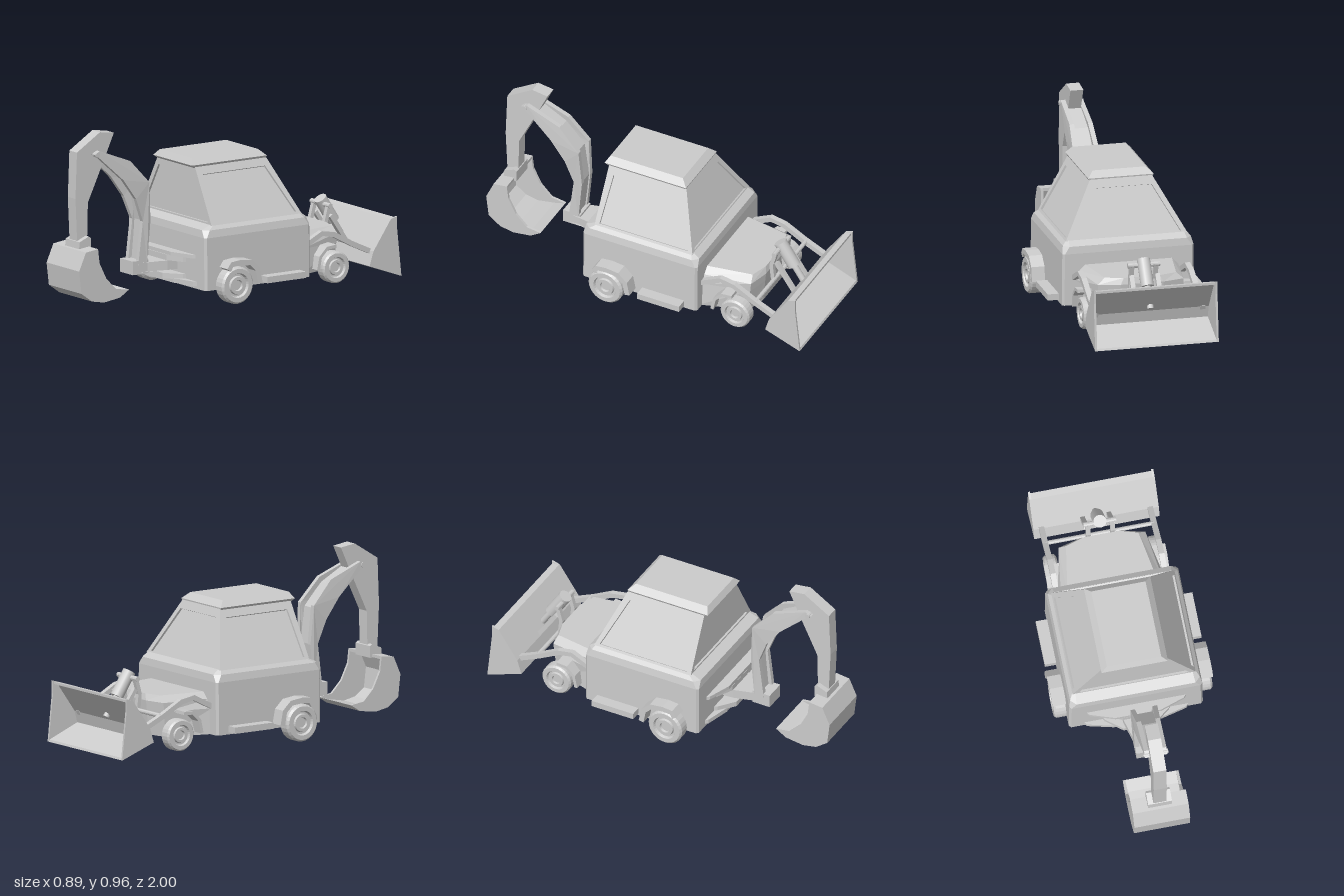
import * as THREE from 'three';

const mat = new THREE.MeshStandardMaterial({ color: 0xcccccc, flatShading: true, side: THREE.DoubleSide });
const smooth = new THREE.MeshStandardMaterial({ color: 0xcccccc, side: THREE.DoubleSide });

export function createModel() {
  const model = new THREE.Group();
  const add = (name, geo, parent = model, m = mat) => {
    const mesh = new THREE.Mesh(geo, m);
    mesh.name = name;
    parent.add(mesh);
    return mesh;
  };
  const group = (name) => {
    const g = new THREE.Group();
    g.name = name;
    model.add(g);
    return g;
  };

  // side profile [z, y] extruded across x0..x1
  const prism = (pts, x0, x1) => {
    const s = new THREE.Shape(pts.map(p => new THREE.Vector2(...p)));
    return new THREE.ExtrudeGeometry(s, { depth: x1 - x0, bevelEnabled: false })
      .rotateY(-Math.PI / 2).translate(x1, 0, 0);
  };
  // strip of constant thickness along a [z, y] path
  const band = (path, t, x0, x1) => {
    const side = k => path.map((p, i) => {
      const a = path[Math.max(i - 1, 0)], b = path[Math.min(i + 1, path.length - 1)];
      const dx = b[0] - a[0], dy = b[1] - a[1], l = Math.hypot(dx, dy);
      return [p[0] - k * t / 2 * dy / l, p[1] + k * t / 2 * dx / l];
    });
    return prism([...side(1), ...side(-1).reverse()], x0, x1);
  };
  const box = (x0, x1, y0, y1, z0, z1) => new THREE.BoxGeometry(x1 - x0, y1 - y0, z1 - z0)
    .translate((x0 + x1) / 2, (y0 + y1) / 2, (z0 + z1) / 2);
  // cylinder between two points
  const rod = (a, b, r, n = 10) => {
    const A = new THREE.Vector3(...a), B = new THREE.Vector3(...b), d = B.clone().sub(A);
    const q = new THREE.Quaternion().setFromUnitVectors(new THREE.Vector3(0, 1, 0), d.clone().normalize());
    const mid = A.add(B).multiplyScalar(0.5);
    return new THREE.CylinderGeometry(r, r, d.length(), n).applyQuaternion(q).translate(mid.x, mid.y, mid.z);
  };
  const triangles = (verts) => {
    const g = new THREE.BufferGeometry();
    g.setAttribute('position', new THREE.Float32BufferAttribute(verts.flatMap(v => v.toArray()), 3));
    g.computeVertexNormals();
    return g;
  };
  const quad = (out, a, b, c, d) => out.push(a, b, c, a, c, d);
  // stack of rings, counter-clockwise from above, closed at both ends
  const loft = (rings) => {
    const out = [], n = rings[0].length, top = rings[rings.length - 1];
    for (let r = 0; r < rings.length - 1; r++)
      for (let i = 0; i < n; i++) {
        const j = (i + 1) % n;
        quad(out, rings[r][i], rings[r][j], rings[r + 1][j], rings[r + 1][i]);
      }
    for (let i = 1; i < n - 1; i++) {
      out.push(top[0], top[i], top[i + 1]);
      out.push(rings[0][0], rings[0][i + 1], rings[0][i]);
    }
    return triangles(out);
  };
  const V = (x, y, z) => new THREE.Vector3(x, y, z);
  // rectangular ring with cut corners
  const ring = (y, x, zf, zb, c = 0.012) => [
    V(x - c, y, zf), V(x, y, zf - c), V(x, y, zb + c), V(x - c, y, zb),
    V(c - x, y, zb), V(-x, y, zb + c), V(-x, y, zf - c), V(c - x, y, zf)];

  // lower body and sloping shoulder
  add('body', loft([ring(0.08, 0.37, 0.31, -0.385), ring(0.37, 0.367, 0.31, -0.385),
    ring(0.41, 0.358, 0.305, -0.38, 0.03), ring(0.435, 0.335, 0.245, -0.345)]));

  // cab: four sloping panels, each with a recessed window
  const cab = group('cab');
  const corners = (y, x, zf, zb) => [V(x, y, zf), V(x, y, zb), V(-x, y, zb), V(-x, y, zf)];
  const low = corners(0.43, 0.34, 0.25, -0.345), high = corners(0.735, 0.172, 0.245, -0.222);
  for (let i = 0; i < 4; i++) {
    const j = (i + 1) % 4, [a, b, c, d] = [low[i], low[j], high[j], high[i]];
    const at = (u, v) => a.clone().lerp(b, u).lerp(d.clone().lerp(c, u), v);
    const n = b.clone().sub(a).cross(d.clone().sub(a)).normalize().multiplyScalar(-0.012);
    const outer = [a, b, c, d];
    const inner = [at(0.045, 0.04), at(0.955, 0.04), at(0.92, 0.84), at(0.08, 0.84)];
    const deep = inner.map(p => p.clone().add(n)), frame = [], glass = [];
    for (let k = 0; k < 4; k++) {
      const m = (k + 1) % 4;
      quad(frame, outer[k], outer[m], inner[m], inner[k]);
      quad(frame, inner[k], inner[m], deep[m], deep[k]);
    }
    quad(glass, ...deep);
    add('windowFrame', triangles(frame), cab);
    add('window', triangles(glass), cab);
  }
  add('roof', loft([corners(0.722, 0.175, 0.25, -0.222), corners(0.738, 0.183, 0.27, -0.225),
    corners(0.772, 0.15, 0.25, -0.19)]), cab);

  // engine hood with rounded nose
  const hoodRing = (y, w, n, e) => [V(w, y, -0.37), V(n, y, e + 0.03), V(n * 0.5, y, e),
    V(-n * 0.5, y, e), V(-n, y, e + 0.03), V(-w, y, -0.37)];
  add('hood', loft([hoodRing(0.08, 0.31, 0.23, -0.66), hoodRing(0.22, 0.3, 0.24, -0.675),
    hoodRing(0.27, 0.28, 0.24, -0.68), hoodRing(0.305, 0.245, 0.2, -0.67)]));

  // wheels
  const wheel = (name, x, y, z, r, w, s) => {
    const h = w / 2;
    const profile = [[0, -h], [0.85, -h], [1, -h * 0.7], [1, h * 0.7], [0.9, h], [0.66, h], [0.6, h * 0.6],
      [0.5, h * 0.6], [0.46, h * 0.9], [0.3, h * 0.9], [0.26, h * 0.6], [0, h * 0.6]];
    const geo = new THREE.LatheGeometry(profile.map(p => new THREE.Vector2(p[0] * r, p[1])), 28)
      .rotateZ(-s * Math.PI / 2).toNonIndexed();
    geo.computeVertexNormals();
    add(name, geo).position.set(s * x, y, z);
  };
  for (const s of [1, -1]) {
    const span = (a, b) => s > 0 ? [a, b] : [-b, -a];
    wheel('rearWheel', 0.398, 0.103, 0.14, 0.103, 0.077, s);
    wheel('frontWheel', 0.288, 0.098, -0.59, 0.088, 0.07, s);
    add('rearFender', band([[0.205, 0.195], [0.185, 0.225], [0.13, 0.23], [0.06, 0.222], [0.015, 0.18], [0, 0.105]],
      0.03, ...span(0.35, 0.443)));
    add('frontFender', band([[-0.46, 0.1], [-0.475, 0.17], [-0.52, 0.215], [-0.58, 0.22]], 0.018, ...span(0.22, 0.335)));
    add('step', box(...span(0.35, 0.432), 0.092, 0.127, -0.31, -0.055));
    // loader arm, with inner link to the crossbar
    add('loaderArm', band([[-0.37, 0.23], [-0.5, 0.295], [-0.58, 0.28], [-0.7, 0.215], [-0.83, 0.155]],
      0.028, ...span(0.285, 0.315)));
    add('loaderLink', band([[-0.7, 0.21], [-0.69, 0.3], [-0.715, 0.39]], 0.022, ...span(0.055, 0.08)));
    add('loaderBracket', band([[-0.72, 0.33], [-0.83, 0.17]], 0.022, ...span(0.06, 0.085)));
  }
  add('crossbar', rod([-0.3, 0.215, -0.71], [0.3, 0.215, -0.71], 0.012));
  add('linkPin', rod([-0.09, 0.385, -0.712], [0.09, 0.385, -0.712], 0.014));

  // tilt cylinder behind the loader bucket
  add('tiltCylinder', rod([0, 0.415, -0.705], [0, 0.285, -0.79], 0.036, 16), model, smooth);
  add('tiltRod', rod([0, 0.3, -0.78], [0, 0.18, -0.86], 0.018, 12), model, smooth);

  // loader bucket, open to the back
  const loader = group('loaderBucket');
  add('loaderShell', prism([[-0.965, 0.335], [-0.93, 0.33], [-0.815, 0.165], [-0.79, 0.085], [-1, 0.008],
    [-0.995, 0.02], [-0.81, 0.095], [-0.828, 0.16], [-0.94, 0.318], [-0.965, 0.322]], -0.342, 0.342), loader);
  for (const x of [-0.345, 0.335])
    add('loaderSide', prism([[-0.93, 0.33], [-0.972, 0.342], [-0.972, 0.27], [-1, 0.008], [-0.79, 0.085],
      [-0.815, 0.165]], x, x + 0.012), loader);

  // curved rear plates [half width, y0, y1, depth]
  for (const [w, y0, y1, z] of [[0.28, 0.245, 0.265, 0.37], [0.19, 0.212, 0.243, 0.37], [0.295, 0.095, 0.12, 0.36],
    [0.19, 0.115, 0.145, 0.395]]) {
    const plan = y => [V(w, y, 0.3), V(-w, y, 0.3), V(-w * 0.93, y, 0.325), V(-w * 0.45, y, z),
      V(w * 0.45, y, z), V(w * 0.93, y, 0.325)];
    add('rearPlate', loft([plan(y0), plan(y1)]));
  }

  // digger arm, slightly off the centre line
  const digger = group('digger');
  digger.position.x = 0.008;
  const mountRing = y => [V(0.095, y, 0.3), V(-0.095, y, 0.3), V(-0.09, y, 0.37), V(-0.055, y, 0.5),
    V(-0.055, y, 0.58), V(0.055, y, 0.58), V(0.055, y, 0.5), V(0.09, y, 0.37)];
  add('diggerMount', loft([mountRing(0.16), mountRing(0.212)]), digger);
  add('boomFoot', box(-0.06, 0.06, 0.15, 0.225, 0.475, 0.58), digger);
  const boom = [[0.545, 0.2], [0.487, 0.2], [0.465, 0.44], [0.48, 0.655], [0.6, 0.785], [0.8, 0.862], [0.835, 0.845],
    [0.8, 0.82], [0.65, 0.685], [0.565, 0.57], [0.515, 0.44]];
  for (const s of [1, -1]) {
    // plates bow outwards around mid height
    const plate = s > 0 ? prism(boom, 0.036, 0.062) : prism(boom, -0.062, -0.036);
    const p = plate.attributes.position;
    for (let i = 0; i < p.count; i++)
      p.setX(i, p.getX(i) + s * Math.max(0, 0.014 - Math.abs(p.getY(i) - 0.63) * 0.07));
    plate.computeVertexNormals();
    add('boomPlate', plate, digger);
  }
  add('boomWeb', band([[0.51, 0.2], [0.487, 0.44], [0.515, 0.63], [0.62, 0.745], [0.79, 0.84]], 0.026, -0.045, 0.045), digger);
  add('boomPin', rod([-0.068, 0.842, 0.815], [0.068, 0.842, 0.815], 0.014), digger);
  add('stick', prism([[0.78, 0.96], [0.688, 0.947], [0.755, 0.8], [0.86, 0.58], [0.865, 0.36], [0.93, 0.35],
    [0.942, 0.61], [0.932, 0.865]], -0.036, 0.036), digger);
  add('bucketCollar', prism([[0.935, 0.375], [0.94, 0.325], [0.86, 0.325], [0.86, 0.39], [0.875, 0.4]], -0.066, 0.066), digger);

  // digger bucket, open toward the cab
  const outer = [[0.875, 0.345], [0.955, 0.335], [1, 0.235], [0.985, 0.11], [0.915, 0.06], [0.835, 0.045],
    [0.73, 0.06], [0.67, 0.098]];
  const inner = [[0.735, 0.08], [0.835, 0.062], [0.908, 0.077], [0.968, 0.12], [0.982, 0.233], [0.942, 0.32], [0.875, 0.328]];
  add('diggerBucketShell', prism([...outer, ...inner], -0.153, 0.153), digger);
  for (const x of [-0.154, 0.14])
    add('diggerBucketSide', prism([...outer, [0.755, 0.11], [0.82, 0.175], [0.865, 0.265]], x, x + 0.014), digger);

  return model;
}
